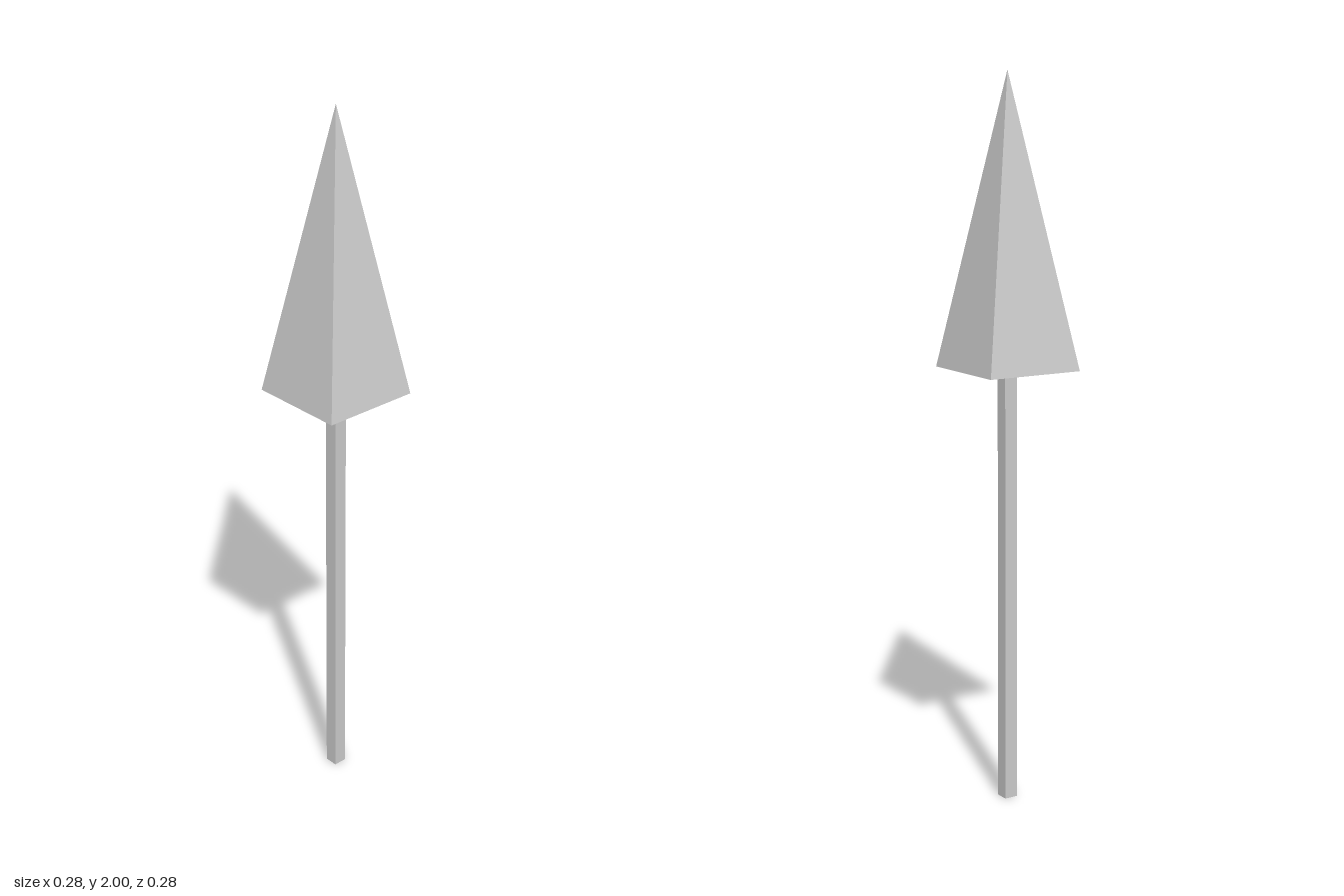
import * as THREE from 'three';

const HEAD_BASE = 1.21; // height where the head meets the shaft
const HEIGHT = 2;
const HEAD_WIDTH = 0.28;
const SHAFT_WIDTH = 0.038;

export function createModel() {
  const group = new THREE.Group();
  group.name = 'arrow';
  const material = new THREE.MeshStandardMaterial({ color: 0xcccccc, flatShading: true });

  // Square shaft standing on the ground
  const shaft = new THREE.Mesh(new THREE.BoxGeometry(SHAFT_WIDTH, HEAD_BASE, SHAFT_WIDTH), material);
  shaft.name = 'shaft';
  shaft.position.y = HEAD_BASE / 2;
  group.add(shaft);

  // Four-sided pyramid head, turned so its flat sides face the axes
  const headHeight = HEIGHT - HEAD_BASE;
  const headGeometry = new THREE.ConeGeometry(HEAD_WIDTH / Math.SQRT2, headHeight, 4);
  headGeometry.rotateY(Math.PI / 4);
  const head = new THREE.Mesh(headGeometry, material);
  head.name = 'head';
  head.position.y = HEAD_BASE + headHeight / 2;
  group.add(head);

  return group;
}
